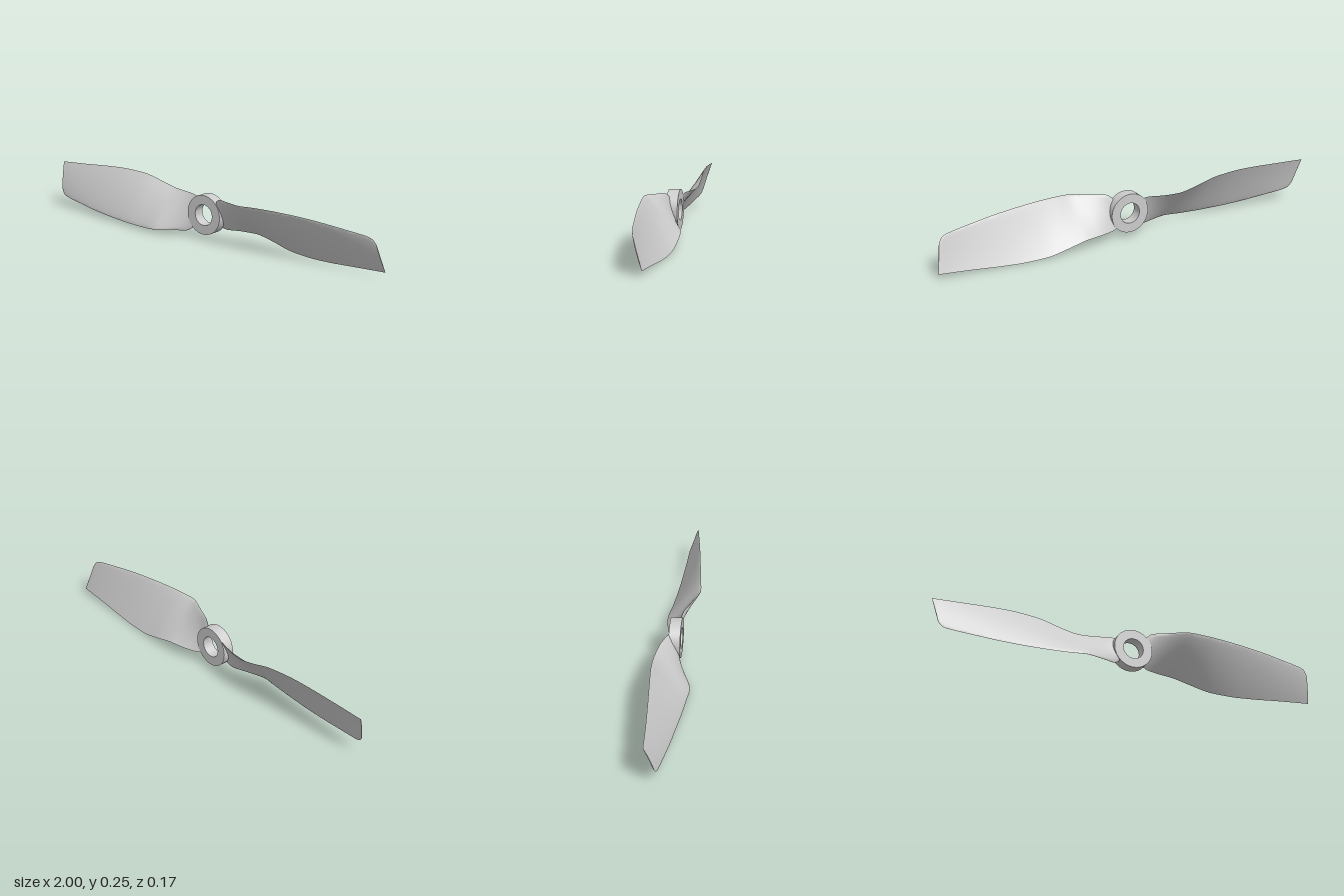
import * as THREE from 'three';
import { toCreasedNormals } from 'three/addons/utils/BufferGeometryUtils.js';

const CENTER_Y = 0.127;
const STEPS = 72; // sections along a blade
const AROUND = 36; // points around a section

// Blade stations, heights relative to the hub axis:
// leading edge x, y, z, trailing edge x, y, z, thickness
const STATIONS = [
  [0.07, 0.074, 0.005, 0.07, -0.062, -0.038, 0.03],
  [0.1, 0.095, 0.018, 0.1, -0.071, -0.05, 0.032],
  [0.17, 0.1, 0.047, 0.17, -0.071, -0.072, 0.03],
  [0.26, 0.107, 0.081, 0.26, -0.074, -0.085, 0.026],
  [0.35, 0.111, 0.075, 0.35, -0.094, -0.087, 0.024],
  [0.45, 0.111, 0.065, 0.45, -0.118, -0.082, 0.022],
  [0.58, 0.106, 0.05, 0.58, -0.126, -0.072, 0.02],
  [0.7, 0.097, 0.037, 0.7, -0.122, -0.063, 0.018],
  [0.82, 0.083, 0.022, 0.84, -0.112, -0.054, 0.015],
  [0.92, 0.07, 0.009, 0.95, -0.105, -0.049, 0.012],
  [0.955, 0.059, 0.003, 0.985, -0.103, -0.048, 0.01],
  [0.974, 0.035, -0.004, 1.0, -0.102, -0.047, 0.008],
];

function edgeCurve(offset) {
  return new THREE.CatmullRomCurve3(
    STATIONS.map((s) => new THREE.Vector3(s[offset], s[offset + 1], s[offset + 2])),
    false, 'catmullrom', 0.4);
}

function thicknessAt(t) {
  const k = t * (STATIONS.length - 1);
  const i = Math.min(Math.floor(k), STATIONS.length - 2);
  return THREE.MathUtils.lerp(STATIONS[i][6], STATIONS[i + 1][6], k - i);
}

// Twisted, cambered airfoil lofted between the two edge curves
function bladeGeometry() {
  const lead = edgeCurve(0);
  const trail = edgeCurve(3);
  const positions = [];
  const indices = [];
  for (let i = 0; i <= STEPS; i++) {
    const t = i / STEPS;
    const a = lead.getPoint(t);
    const b = trail.getPoint(t);
    const chord = b.clone().sub(a);
    const normal = new THREE.Vector3(0, chord.z, -chord.y).normalize(); // towards the front
    const thick = thicknessAt(t);
    for (let j = 0; j < AROUND; j++) {
      const angle = (j / AROUND) * Math.PI * 2;
      const s = (1 - Math.cos(angle)) / 2;
      const half = 1.3 * Math.sqrt(s) * (1 - s) * Math.sign(Math.sin(angle)) * 0.5;
      const camber = 0.25 * 4 * s * (1 - s);
      const p = a.clone().addScaledVector(chord, s).addScaledVector(normal, thick * (half + camber));
      positions.push(p.x, p.y, p.z);
    }
  }
  for (let i = 0; i < STEPS; i++) {
    for (let j = 0; j < AROUND; j++) {
      const a = i * AROUND + j;
      const b = i * AROUND + ((j + 1) % AROUND);
      indices.push(a, b, a + AROUND, b, b + AROUND, a + AROUND);
    }
  }
  // Close root and tip
  const last = STEPS * AROUND;
  for (let j = 1; j < AROUND - 1; j++) {
    indices.push(0, j + 1, j);
    indices.push(last, last + j, last + j + 1);
  }
  const geometry = new THREE.BufferGeometry();
  geometry.setAttribute('position', new THREE.Float32BufferAttribute(positions, 3));
  geometry.setIndex(indices);
  return toCreasedNormals(geometry, 0.7);
}

// Ring with the shaft hole
function hubGeometry() {
  const ring = new THREE.Shape().absarc(0, 0, 0.099, 0, Math.PI * 2, false);
  ring.holes.push(new THREE.Path().absarc(0, 0, 0.052, 0, Math.PI * 2, true));
  const geometry = new THREE.ExtrudeGeometry(ring, { depth: 0.056, bevelEnabled: false, curveSegments: 64 });
  geometry.translate(0, 0, -0.041);
  return toCreasedNormals(geometry, 0.6);
}

export function createModel() {
  const material = new THREE.MeshStandardMaterial({ color: 0xcccccc });
  const model = new THREE.Group();
  model.name = 'propeller';

  const hub = new THREE.Mesh(hubGeometry(), material);
  hub.name = 'hub';
  hub.position.y = CENTER_Y;
  model.add(hub);

  // Two identical blades, half a turn apart
  const geometry = bladeGeometry();
  ['leftBlade', 'rightBlade'].forEach((name, i) => {
    const blade = new THREE.Mesh(geometry, material);
    blade.name = name;
    blade.position.y = CENTER_Y;
    blade.rotation.z = i * Math.PI;
    model.add(blade);
  });
  return model;
}
